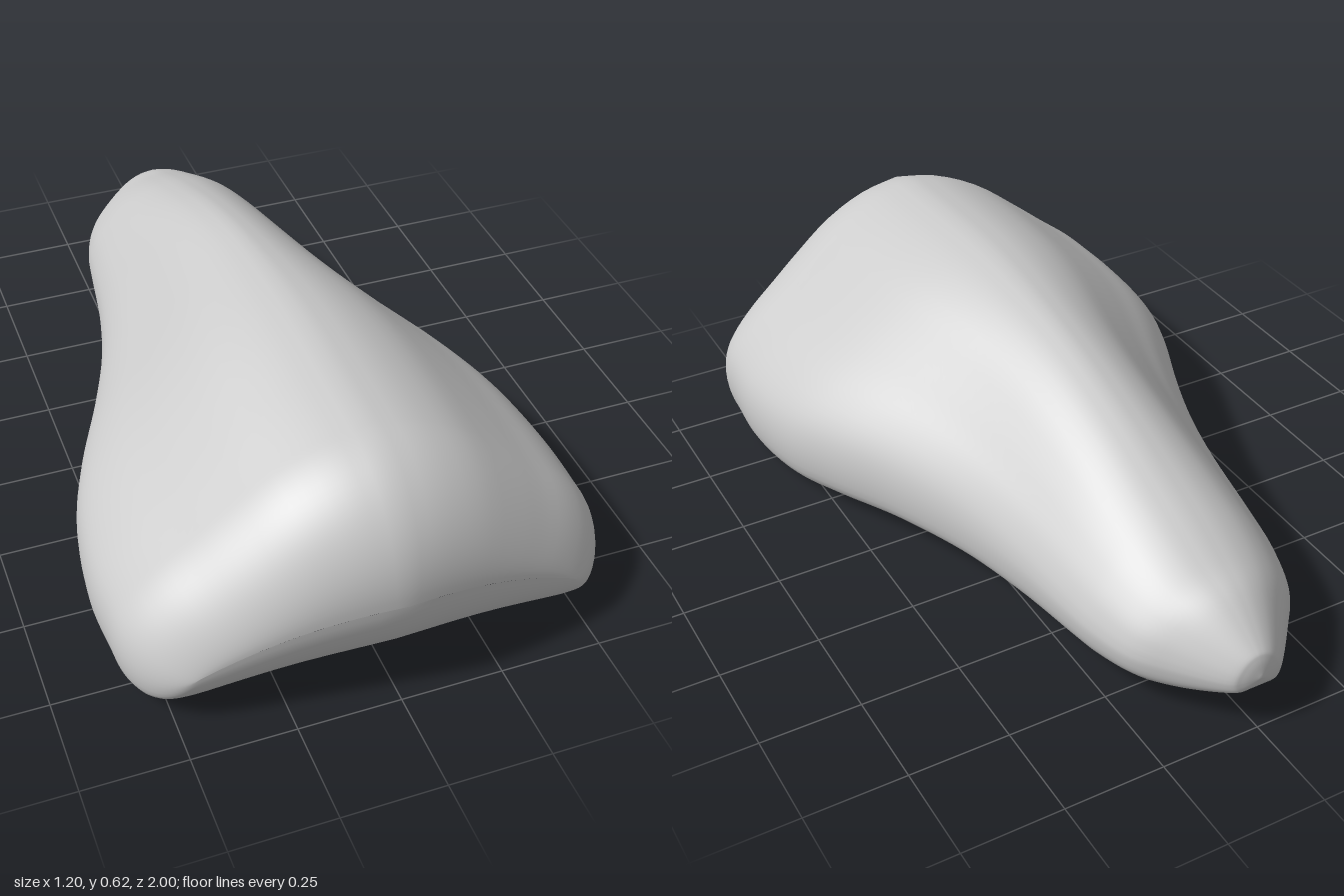
import * as THREE from 'three';

// Half cross-sections, top centre to bottom centre: x / half width, height fraction
const WIDE = [[0, 1], [.18, .965], [.37, .875], [.55, .735], [.7, .61], [.83, .505], [.93, .4],
  [.985, .3], [1, .18], [.975, .06], [.9, .01], [.75, 0], [.4, .03], [0, .05]];
const NOSE = [[0, 1], [.25, .97], [.48, .89], [.66, .78], [.8, .66], [.9, .55], [.96, .45],
  [.99, .37], [1, .28], [.96, .14], [.85, .04], [.65, 0], [.35, 0], [0, 0]];

// Stations along the body: z, half width, top, bottom
const STATIONS = [
  [-1, 0, .15, .15], [-.99, .045, .195, .12], [-.97, .078, .22, .105], [-.88, .158, .29, .075],
  [-.8, .22, .325, .065], [-.7, .255, .37, .055], [-.6, .273, .41, .05], [-.4, .305, .485, .05],
  [-.2, .355, .545, .055], [0, .43, .585, .05], [.2, .52, .61, .03], [.36, .575, .615, .01],
  [.55, .6, .607, 0], [.73, .595, .597, .01],
];

const spline = (points) => new THREE.CatmullRomCurve3(
  points.map((p) => new THREE.Vector3(p[0], p[1], p[2] ?? 0)), false, 'catmullrom', 0.5);

// Full closed ring of [x, heightFraction], mirrored from a half section
function ring(half, steps = 40) {
  const right = spline(half).getPoints(steps).map((p) => [p.x, p.y]);
  const left = right.slice(1, -1).reverse().map(([x, y]) => [-x, y]);
  return [...right, ...left];
}

function buildShell() {
  const wide = ring(WIDE), nose = ring(NOSE), n = wide.length;
  const sizes = spline(STATIONS.map((s) => s.slice(1)));
  const lengths = spline(STATIONS.map((s) => [s[0], 0]));

  // Rings of the long body, then rings closing the rounded front
  const rings = [];
  const BODY = 78, CAP = 22;
  for (let i = 0; i <= BODY; i++) {
    const s = sizes.getPoint(i / BODY);
    rings.push({ z: lengths.getPoint(i / BODY).x, w: s.x, top: s.y, bottom: s.z, cap: 0 });
  }
  for (let i = 1; i <= CAP; i++) {
    const a = (i / CAP) * Math.PI / 2, cap = 1 - Math.cos(a);
    rings.push({ z: .73 + .27 * Math.sin(a), w: .595 - .145 * cap, top: .597, bottom: .01, cap });
  }

  const positions = [], index = [];
  rings.forEach(({ z, w, top, bottom, cap }, i) => {
    const blend = 1 - THREE.MathUtils.smoothstep(z, -.8, 0);
    const bow = Math.max(0, (z - .5) / .5) ** 2;
    for (let j = 0; j < n; j++) {
      const x = w * THREE.MathUtils.lerp(wide[j][0], nose[j][0], blend);
      const h = THREE.MathUtils.lerp(wide[j][1], nose[j][1], blend);
      // The front closes onto a drooping line that bows back at the sides
      const y = THREE.MathUtils.lerp(bottom + (top - bottom) * h, .3 - .7 * x * x, cap);
      positions.push(x, y, z - .075 * bow * (Math.abs(x) / .45) ** 1.3);
      if (i < rings.length - 1) {
        const a = i * n + j, b = i * n + (j + 1) % n;
        index.push(a, a + n, b, b, a + n, b + n);
      }
    }
  });

  const geometry = new THREE.BufferGeometry();
  geometry.setAttribute('position', new THREE.Float32BufferAttribute(positions, 3));
  geometry.setIndex(index);
  geometry.computeVertexNormals();
  // All vertices of the nose tip share one direction
  for (let j = 0; j < n; j++) geometry.attributes.normal.setXYZ(j, 0, 0, -1);
  return geometry;
}

export function createModel() {
  const group = new THREE.Group();
  group.name = 'saddleBody';
  const shell = new THREE.Mesh(buildShell(), new THREE.MeshStandardMaterial({ color: 0xcccccc }));
  shell.name = 'paddedShell';
  group.add(shell);
  return group;
}
